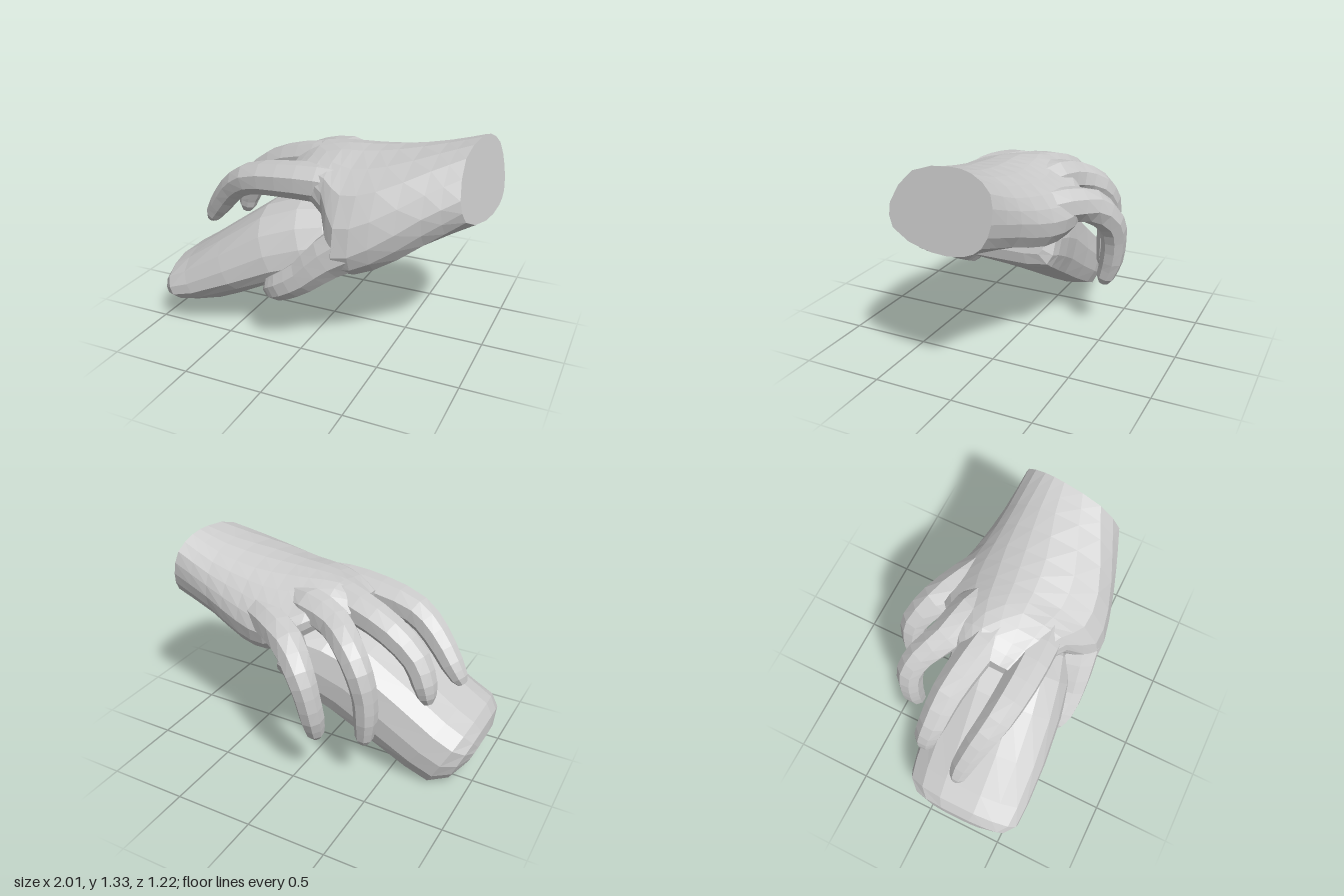
import * as THREE from 'three';

const material = new THREE.MeshStandardMaterial({ color: 0xcccccc, flatShading: true });
const V = (x, y, z) => new THREE.Vector3(x, y, z);

// Skins a list of equal-length rings of points and closes both ends.
function loft(name, rings) {
  const tris = [];
  const n = rings[0].length;
  for (let i = 0; i < rings.length - 1; i++) {
    for (let j = 0; j < n; j++) {
      const k = (j + 1) % n;
      const a = rings[i][j], b = rings[i][k], c = rings[i + 1][k], d = rings[i + 1][j];
      tris.push([a, b, c], [a, c, d]);
    }
  }
  const cap = (ring, flip) => {
    const mid = ring.reduce((s, p) => s.add(p), V(0, 0, 0)).divideScalar(n);
    ring.forEach((p, j) => {
      const q = ring[(j + 1) % n];
      tris.push(flip ? [mid, q, p] : [mid, p, q]);
    });
  };
  cap(rings[0], true);
  cap(rings[rings.length - 1], false);

  // Turn the faces outwards, judged by the signed volume
  const volume = tris.reduce((s, [a, b, c]) => s + a.dot(b.clone().cross(c)), 0);
  const points = tris.flatMap(([a, b, c]) => (volume < 0 ? [a, c, b] : [a, b, c]));
  const geometry = new THREE.BufferGeometry().setFromPoints(points);
  geometry.computeVertexNormals();
  const mesh = new THREE.Mesh(geometry, material);
  mesh.name = name;
  return mesh;
}

// Finger: eight-sided rings along joints given as [x, y, z, radius], with a blunt tip.
function finger(name, joints) {
  const sides = 8;
  const curve = new THREE.CatmullRomCurve3(joints.map(([x, y, z]) => V(x, y, z)));
  const last = joints.length - 1;
  const rings = [];
  const ring = (centre, dir, r) => {
    const side = V(0, 0, 1).addScaledVector(dir, -dir.z).normalize();
    const up = dir.clone().cross(side);
    rings.push(Array.from({ length: sides }, (_, j) => {
      const t = ((j + 0.5) / sides) * Math.PI * 2;
      return centre.clone().addScaledVector(side, r * Math.cos(t)).addScaledVector(up, r * Math.sin(t));
    }));
  };
  for (let i = 0; i <= last * 2; i++) {
    const t = i / (last * 2);
    const k = Math.min(Math.floor(i / 2), last - 1);
    const r = THREE.MathUtils.lerp(joints[k][3], joints[k + 1][3], i / 2 - k);
    ring(curve.getPoint(t), curve.getTangent(t), r);
  }
  const dir = curve.getTangent(1);
  const r = joints[last][3];
  ring(curve.getPoint(1).addScaledVector(dir, r * 0.75), dir, r * 0.55);
  return loft(name, rings);
}

// Wrist and palm: each section is x, then (z, y) pairs from the thumb edge over the back of the hand.
function palm() {
  const sections = [
    [0.945, [0.36, 0.95, 0.39, 1.08, 0.25, 1.27, 0, 1.325, -0.13, 1.31, -0.25, 1.23, -0.27, 1.08, -0.22, 0.95, -0.12, 0.89, 0.1, 0.87]],
    [0.72, [0.4, 0.79, 0.47, 0.97, 0.33, 1.2, 0.03, 1.275, -0.15, 1.24, -0.27, 1.14, -0.31, 1.0, -0.25, 0.86, -0.06, 0.82, 0.2, 0.78]],
    [0.45, [0.46, 0.61, 0.565, 0.78, 0.45, 1.08, 0.1, 1.22, -0.15, 1.19, -0.3, 1.08, -0.38, 0.93, -0.32, 0.78, -0.08, 0.79, 0.25, 0.68]],
    [0.24, [0.49, 0.57, 0.59, 0.7, 0.46, 1.03, 0.12, 1.19, -0.12, 1.18, -0.33, 1.05, -0.43, 0.92, -0.37, 0.79, -0.1, 0.84, 0.3, 0.72]],
    [0.1, [0.38, 0.85, 0.42, 0.93, 0.37, 1.08, 0.12, 1.18, -0.1, 1.18, -0.28, 1.08, -0.41, 0.96, -0.37, 0.86, -0.1, 0.91, 0.2, 0.87]],
    [-0.08, [0.29, 0.93, 0.33, 1.0, 0.28, 1.09, 0.14, 1.13, -0.05, 1.17, -0.17, 1.13, -0.27, 1.05, -0.24, 0.97, -0.05, 0.96, 0.18, 0.93]],
    [-0.21, [0.2, 0.96, 0.23, 1.0, 0.2, 1.05, 0.12, 1.06, -0.02, 1.1, -0.09, 1.09, -0.15, 1.04, -0.13, 1.0, -0.05, 0.98, 0.12, 0.96]],
  ];
  // Round each section, then run smooth lines along the hand
  const rounded = sections.map(([x, zy], i) => {
    const corners = Array.from({ length: 10 }, (_, j) => {
      const z = zy[2 * j], y = zy[2 * j + 1];
      return V(i === 0 ? x - (y - 1.1) * 0.2 - (z - 0.05) * 0.12 : x, y, z); // slanted cut at the wrist
    });
    return new THREE.CatmullRomCurve3(corners, true).getPoints(20).slice(0, 20);
  });
  const lines = rounded[0].map((_, j) => new THREE.CatmullRomCurve3(rounded.map((r) => r[j])).getPoints(12));
  return loft('wristAndPalm', lines[0].map((_, i) => lines.map((line) => line[i])));
}

// Held block: flat-bottomed, domed sections placed along a sloping axis.
function block() {
  // (width -1..1, height 0..1)
  const outline = [[-1, 0.5], [-0.99, 0.25], [-0.9, 0.06], [-0.5, 0], [0, 0], [0.5, 0], [0.88, 0.05], [1, 0.18],
    [0.99, 0.42], [0.88, 0.7], [0.62, 0.91], [0.3, 1], [-0.3, 1], [-0.65, 0.93], [-0.9, 0.78]];
  // bottom x, y; top x, y; least and greatest z; rise of the underside towards the front
  const stations = [
    [-0.95, 0.11, -1.0, 0.22, 0.0, 0.38, 0.4],
    [-0.87, 0.03, -0.995, 0.31, -0.13, 0.52, 0.4],
    [-0.75, 0.0, -0.95, 0.38, -0.2, 0.58, 0.4],
    [-0.6, 0.07, -0.84, 0.45, -0.22, 0.585, 0.33],
    [-0.35, 0.2, -0.6, 0.62, -0.23, 0.575, 0.25],
    [-0.1, 0.34, -0.33, 0.81, -0.25, 0.545, 0.17],
    [0.08, 0.44, -0.1, 0.89, -0.28, 0.5, 0.1],
    [0.21, 0.52, 0.06, 0.9, -0.29, 0.45, 0.03],
    [0.26, 0.56, 0.16, 0.86, -0.28, 0.4, 0],
    [0.27, 0.63, 0.22, 0.79, -0.22, 0.28, 0],
  ];
  return loft('heldBlock', stations.map(([bx, by, tx, ty, z0, z1, rise]) =>
    outline.map(([w, h]) => {
      const t = h + rise * Math.max(0, w + 0.2) * (1 - h);
      return V(bx + (tx - bx) * t, by + (ty - by) * t, z0 + (z1 - z0) * (w + 1) / 2);
    })));
}

export function createModel() {
  const group = new THREE.Group();
  group.name = 'handHoldingBlock';
  group.add(
    block(),
    palm(),
    finger('thumb', [[0.58, 0.88, 0.32, 0.14], [0.36, 0.765, 0.415, 0.16], [0.17, 0.64, 0.475, 0.13],
      [0.03, 0.51, 0.51, 0.104], [-0.1, 0.425, 0.515, 0.092], [-0.17, 0.385, 0.495, 0.082]]),
    finger('indexFinger', [[0.25, 1.0, 0.25, 0.12], [0.03, 1.01, 0.27, 0.12], [-0.22, 0.995, 0.265, 0.112],
      [-0.47, 0.95, 0.235, 0.1], [-0.62, 0.85, 0.19, 0.088], [-0.75, 0.7, 0.15, 0.073], [-0.81, 0.62, 0.14, 0.055]]),
    finger('middleFinger', [[0.2, 1.05, 0.02, 0.11], [0.0, 1.065, 0.0, 0.115], [-0.22, 1.03, -0.045, 0.11],
      [-0.45, 0.955, -0.09, 0.1], [-0.62, 0.825, -0.11, 0.088], [-0.69, 0.69, -0.13, 0.076], [-0.71, 0.61, -0.13, 0.058]]),
    finger('ringFinger', [[0.25, 1.03, -0.1, 0.1], [0.03, 1.05, -0.19, 0.113], [-0.16, 1.01, -0.25, 0.105],
      [-0.3, 0.93, -0.345, 0.093], [-0.39, 0.81, -0.39, 0.085], [-0.43, 0.65, -0.385, 0.077],
      [-0.435, 0.5, -0.38, 0.072], [-0.425, 0.37, -0.37, 0.056]]),
    finger('littleFinger', [[0.42, 0.97, -0.22, 0.11], [0.23, 0.96, -0.33, 0.11], [0.05, 0.915, -0.435, 0.105],
      [-0.075, 0.79, -0.52, 0.09], [-0.125, 0.66, -0.53, 0.08], [-0.15, 0.5, -0.51, 0.075], [-0.15, 0.38, -0.475, 0.058]]),
  );
  return group;
}
